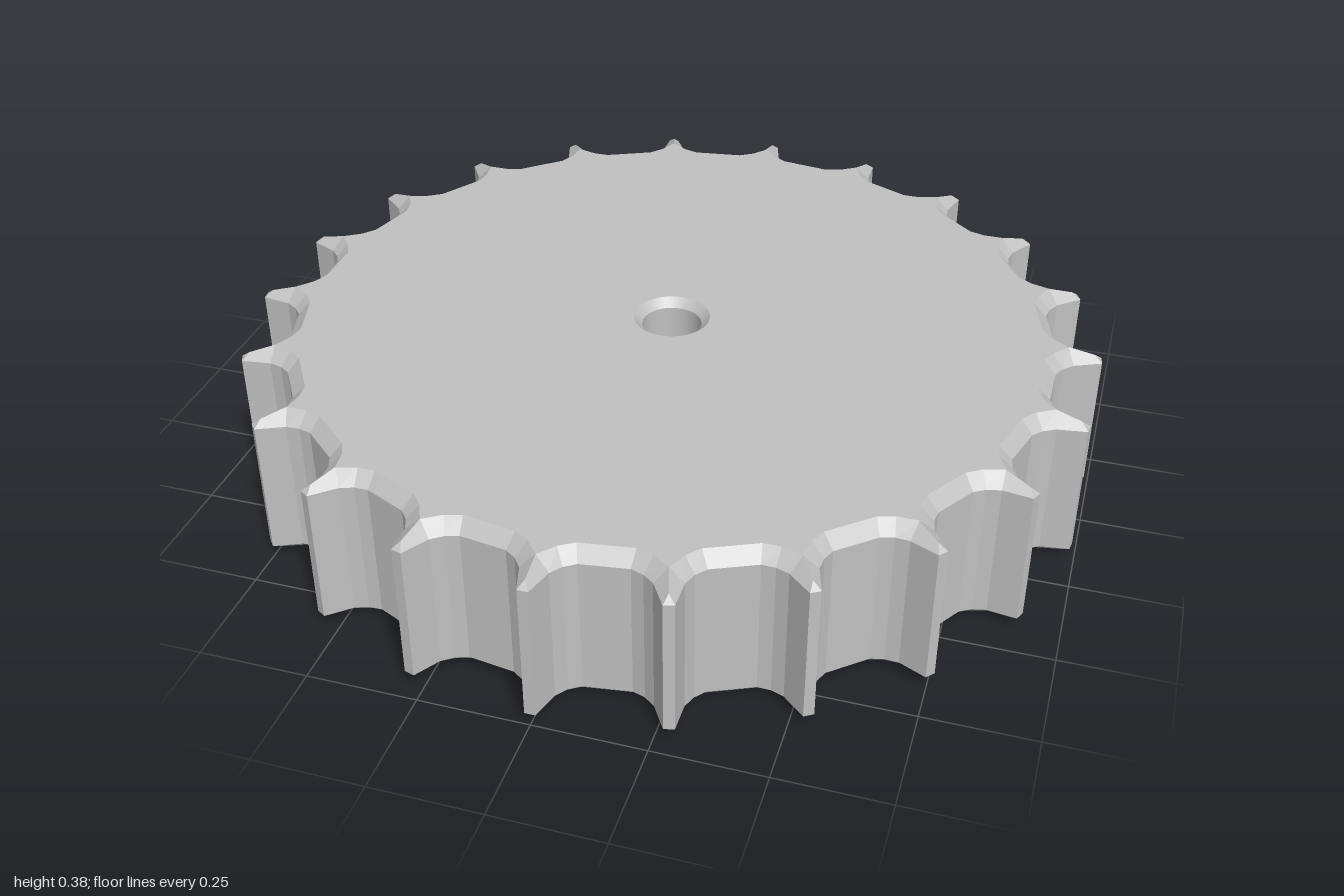
import * as THREE from 'three';

const TEETH = 22, HEIGHT = 0.385, CHAMFER = 0.03, CEILING = 0.21;
const HOLE = 0.07, HOLE_RIM = 0.09, RIM_DEPTH = 0.02;

// Right half of one tooth as [across, radius]; mirrored for the left half
const WALL = [[0.012, 1], [0.031, 0.935], [0.05, 0.91], [0.075, 0.893]];
// Matching chamfer edge as [across, radius, depth below the face]
const INSET = [[0, 0.982, 0.015], [0, 0.922, 0], [0.031, 0.886, 0], [0.064, 0.865, 0]];

// Repeat the tooth around the wheel
function gearRing(half, yOf) {
  const tooth = [
    ...half.map(([t, r, d = 0]) => [-t, r, d]).reverse(),
    ...half.map(([t, r, d = 0]) => [t, r, d]),
  ];
  const ring = [];
  for (let i = 0; i < TEETH; i++) {
    const a = (i / TEETH) * Math.PI * 2, s = Math.sin(a), c = Math.cos(a);
    for (const [t, r, d] of tooth) ring.push([r * s + t * c, yOf(d), r * c - t * s, d]);
  }
  return ring;
}

// Square ring with its four corners cut
function squareRing(half, cut, y) {
  const ring = [];
  for (let i = 0; i < 4; i++) {
    const s = Math.round(Math.sin(i * Math.PI / 2)), c = Math.round(Math.cos(i * Math.PI / 2));
    for (const [u, v] of [[half - cut, half], [half, half - cut]]) {
      ring.push([v * s + u * c, y, v * c - u * s]);
    }
  }
  return ring;
}

// Flat-faced skin through matching rings
function loft(rings) {
  const pos = [];
  for (let k = 0; k < rings.length - 1; k++) {
    const lo = rings[k], hi = rings[k + 1], n = lo.length;
    for (let i = 0; i < n; i++) {
      const j = (i + 1) % n;
      for (const p of [lo[i], lo[j], hi[j], lo[i], hi[j], hi[i]]) pos.push(p[0], p[1], p[2]);
    }
  }
  const g = new THREE.BufferGeometry();
  g.setAttribute('position', new THREE.Float32BufferAttribute(pos, 3));
  g.computeVertexNormals();
  return g;
}

// Level face with an opening, looking up (dir 1) or down (dir -1)
function face(outline, opening, y, dir) {
  const flat = (ring) => ring.map((p) => new THREE.Vector2(p[0], -dir * p[2]));
  const shape = new THREE.Shape(flat(outline));
  shape.holes.push(new THREE.Path(flat(opening)));
  return new THREE.ShapeGeometry(shape).rotateX(-dir * Math.PI / 2).translate(0, y, 0);
}

function circle(r, n = 48) {
  return Array.from({ length: n }, (_, i) => {
    const a = (i / n) * Math.PI * 2;
    return [r * Math.sin(a), 0, r * Math.cos(a)];
  });
}

export function createModel() {
  const group = new THREE.Group();
  const grey = new THREE.MeshStandardMaterial({ color: 0xc0c0c0 });
  grey.name = 'light grey';
  const add = (name, geometry) => {
    const mesh = new THREE.Mesh(geometry, grey);
    mesh.name = name;
    group.add(mesh);
  };

  // Toothed rim with chamfered edges
  const bottom = gearRing(INSET, (d) => d);
  const top = gearRing(INSET, (d) => HEIGHT - d);
  add('toothedRim', loft([
    bottom,
    gearRing(WALL, () => CHAMFER),
    gearRing(WALL, () => HEIGHT - CHAMFER),
    top,
  ]));

  // Top and bottom faces, leaving out the sloping tooth ridges
  const level = (ring) => ring.filter((p) => p[3] === 0);
  const mouth = 0.405, inner = mouth - CHAMFER, cut = 0.034;
  const mouthCorners = squareRing(mouth, 0, 0).filter((_, i) => i % 2 === 0);
  add('topFace', face(level(top), circle(HOLE_RIM), HEIGHT, 1));
  add('bottomFace', face(level(bottom), mouthCorners, 0, -1));

  // Square pocket underneath
  const ceilingRing = squareRing(inner, cut, CEILING);
  add('pocketWalls', loft([ceilingRing, squareRing(inner, cut, CHAMFER), squareRing(mouth, 0, 0)]));
  add('pocketCeiling', face(ceilingRing, circle(HOLE_RIM), CEILING, -1));

  // Centre hole, flared at both ends
  const bore = [
    ['upperHoleRim', HOLE_RIM, HEIGHT, HOLE, HEIGHT - RIM_DEPTH],
    ['holeWall', HOLE, HEIGHT - RIM_DEPTH, HOLE, CEILING + RIM_DEPTH],
    ['lowerHoleRim', HOLE, CEILING + RIM_DEPTH, HOLE_RIM, CEILING],
  ];
  for (const [name, r1, y1, r2, y2] of bore) {
    add(name, new THREE.LatheGeometry([new THREE.Vector2(r1, y1), new THREE.Vector2(r2, y2)], 48));
  }
  return group;
}
